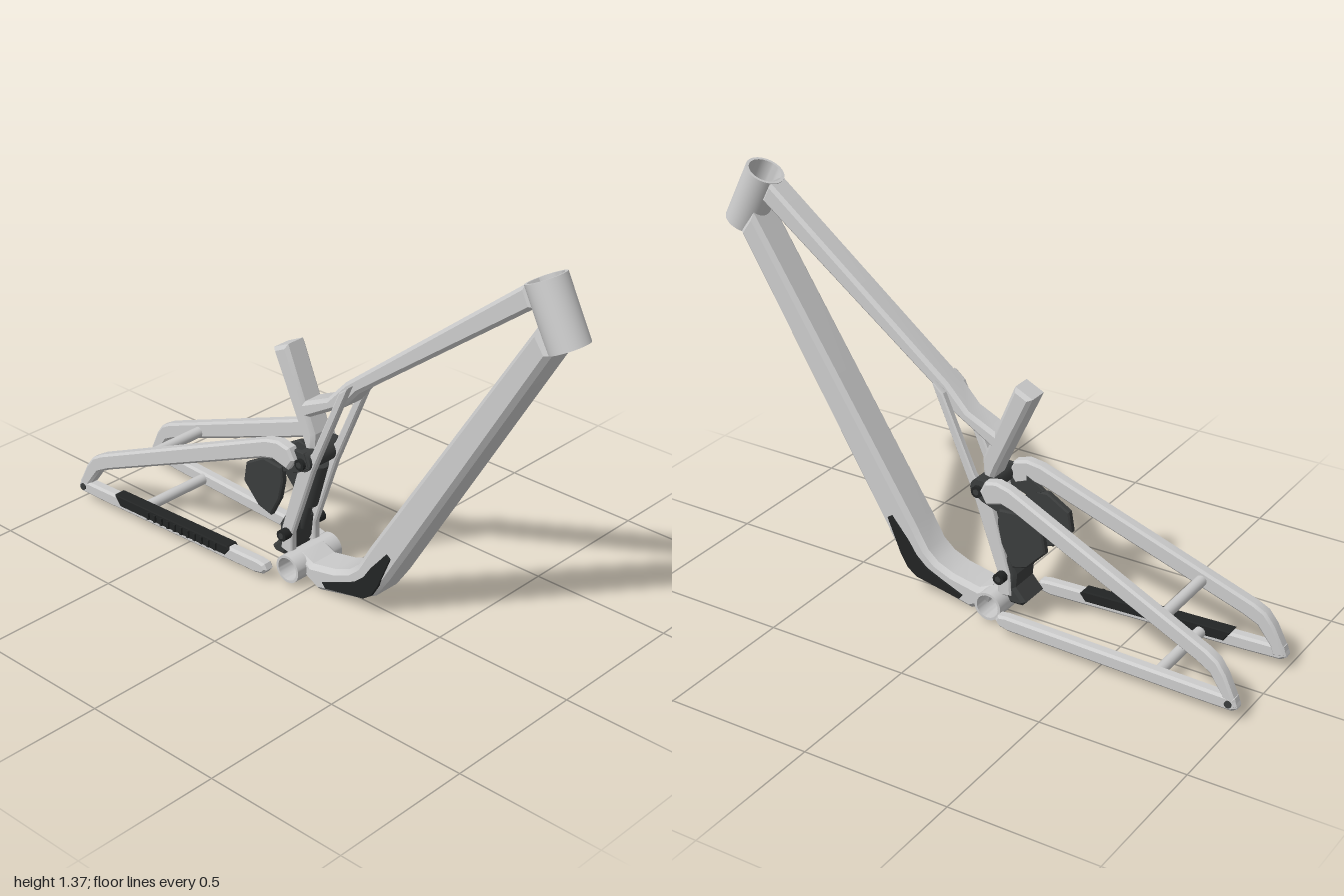
import * as THREE from 'three';
import { toCreasedNormals } from 'three/addons/utils/BufferGeometryUtils.js';

const GREY = new THREE.MeshStandardMaterial({ color: 0xcccccc });
const DARK = new THREE.MeshStandardMaterial({ color: 0x3a3c3c });
const RUBBER = new THREE.MeshStandardMaterial({ color: 0x222424 });

export function createModel() {
  const frame = new THREE.Group();
  frame.name = 'bicycleFrame';

  function add(name, geometry, material = GREY) {
    const mesh = new THREE.Mesh(geometry, material);
    mesh.name = name;
    frame.add(mesh);
    return mesh;
  }

  // Side outline extruded across z with chamfered edges; zAt(x) bends it sideways
  function slab(name, outline, half, bevel, zAt = () => 0, material = GREY) {
    const shape = new THREE.Shape(outline.map(([x, y]) => new THREE.Vector2(x, y)));
    const g = new THREE.ExtrudeGeometry(shape, {
      depth: 2 * (half - bevel), bevelEnabled: bevel > 0, bevelThickness: bevel,
      bevelSize: bevel, bevelOffset: -bevel, bevelSegments: 1,
    });
    g.translate(0, 0, -(half - bevel));
    const p = g.attributes.position;
    for (let i = 0; i < p.count; i++) p.setZ(i, p.getZ(i) + zAt(p.getX(i)));
    g.computeVertexNormals();
    return add(name, toCreasedNormals(g, 0.45), material);
  }

  // Solid round bar along z
  function bar(name, x, y, z, radius, length, material = GREY, sides = 20) {
    const g = new THREE.CylinderGeometry(radius, radius, length, sides);
    g.rotateX(Math.PI / 2);
    return add(name, g.translate(x, y, z), material);
  }

  // Hollow round tube standing on the y axis
  function pipe(outer, inner, length) {
    const h = length / 2;
    const profile = [[inner, -h], [outer, -h], [outer, h], [inner, h], [inner, -h]];
    const g = new THREE.LatheGeometry(profile.map(([r, y]) => new THREE.Vector2(r, y)), 40);
    return toCreasedNormals(g, 0.6);
  }

  // Head tube and bottom bracket shell
  const head = add('headTube', pipe(0.065, 0.055, 0.21));
  head.position.set(0.891, 1.243, 0);
  head.rotation.z = 0.464;
  const shell = add('bottomBracketShell', pipe(0.049, 0.04, 0.21));
  shell.position.set(-0.065, 0.06, 0);
  shell.rotation.x = Math.PI / 2;

  // Main tubes
  slab('downTube', [
    [0.86, 1.205], [0.25, 0.25], [0.2, 0.165], [0.16, 0.13], [0.1, 0.105], [0, 0.085],
    [-0.05, 0.108], [-0.03, 0.03], [0.03, 0], [0.2, 0.04], [0.275, 0.08], [0.33, 0.16],
    [0.915, 1.135],
  ], 0.065, 0.016);
  slab('topTube', [
    [0.8, 1.315], [0.125, 0.78], [0.05, 0.7], [-0.08, 0.64], [-0.055, 0.59],
    [0.125, 0.695], [0.18, 0.76], [0.835, 1.25],
  ], 0.045, 0.012);
  slab('seatTube', [
    [-0.185, 0.8], [-0.122, 0.83], [-0.005, 0.55], [-0.01, 0.48], [-0.04, 0.48], [-0.06, 0.53],
  ], 0.045, 0.012);

  // Shock, with its mounts between the side plates
  const top = new THREE.Vector3(-0.02, 0.45, 0);
  const bottom = new THREE.Vector3(-0.105, 0.16, 0);
  const shock = new THREE.Group();
  shock.name = 'shock';
  for (const [r, y, h] of [[0.036, 0.05, 0.17], [0.022, -0.07, 0.14]]) {
    const part = new THREE.Mesh(new THREE.CylinderGeometry(r, r, h, 20), DARK);
    part.name = r > 0.03 ? 'shockBody' : 'shockShaft';
    part.position.y = y;
    shock.add(part);
  }
  shock.position.copy(top).add(bottom).multiplyScalar(0.5);
  shock.rotation.z = Math.atan2(bottom.x - top.x, top.y - bottom.y);
  frame.add(shock);
  bar('upperShockMount', -0.02, 0.465, 0, 0.035, 0.16, DARK);
  slab('lowerLink', [
    [-0.11, 0.24], [-0.145, 0.18], [-0.14, 0.13], [-0.18, 0.085], [-0.165, 0.07],
    [-0.12, 0.07], [-0.095, 0.12], [-0.085, 0.2],
  ], 0.062, 0.01, undefined, DARK);

  // Mirrored parts
  for (const s of [1, -1]) {
    const side = s > 0 ? 'Front' : 'Back';

    slab('seatPlate' + side, [
      [0.165, 0.785], [0.125, 0.755], [0.01, 0.5], [-0.045, 0.44], [-0.125, 0.18], [-0.13, 0.1],
      [-0.08, 0.09], [-0.08, 0.17], [0.012, 0.43],
    ], 0.014, 0.005, () => s * 0.055);

    slab('rocker' + side, [
      [-0.26, 0.38], [-0.18, 0.427], [-0.1, 0.42], [-0.095, 0.37], [-0.11, 0.3], [-0.15, 0.225],
      [-0.205, 0.24], [-0.272, 0.31],
    ], 0.013, 0.005, () => s * 0.082, DARK);
    slab('rockerArm' + side, [
      [-0.17, 0.43], [-0.06, 0.5], [-0.01, 0.5], [0.01, 0.45], [-0.03, 0.425], [-0.1, 0.4],
    ], 0.008, 0.002, () => s * 0.077, DARK);

    // Rear stays, splaying outwards towards the dropouts
    slab('seatStay' + side, [
      [-1, 0.05], [-0.99, 0.075], [-0.955, 0.147], [-0.925, 0.187], [-0.885, 0.21],
      [-0.15, 0.513], [-0.1, 0.522], [-0.055, 0.51], [-0.035, 0.47], [-0.06, 0.43],
      [-0.12, 0.45], [-0.163, 0.44], [-0.85, 0.163], [-0.9, 0.137], [-0.945, 0.075], [-0.955, 0.04],
    ], 0.022, 0.008, (x) => s * (0.17 - (x + 1) * 0.088));
    slab('chainStay' + side, [
      [-1, 0.045], [-0.99, 0.08], [-0.16, 0.075], [-0.13, 0.07], [-0.12, 0.05], [-0.135, 0.032],
      [-0.17, 0.025], [-0.85, 0.03], [-0.98, 0.033],
    ], 0.021, 0.008, (x) => s * (0.17 - (x + 1) * 0.045));
    bar('dropoutBolt' + side, -0.972, 0.058, s * 0.172, 0.012, 0.046, DARK, 12);

    // Pivot bolts
    for (const [x, y] of [[-0.018, 0.46], [-0.1, 0.168]]) {
      bar('pivotBolt' + side, x, y, s * 0.08, 0.02, 0.034, RUBBER, 12);
      bar('pivotCap' + side, x, y, s * 0.094, 0.011, 0.01, DARK, 6);
    }

    slab('downTubeGuard' + side, [
      [0.33, 0.262], [0.347, 0.25], [0.297, 0.13], [0.27, 0.085], [0.235, 0.06], [0.07, 0.027],
      [0.055, 0.045], [0.14, 0.08], [0.195, 0.105], [0.235, 0.14], [0.265, 0.185],
    ], 0.006, 0.002, () => s * 0.064, RUBBER);
  }

  // Bridges joining the two sides
  bar('seatStayBridge', -0.71, 0.247, 0, 0.019, 0.26);
  bar('chainStayBridge', -0.71, 0.055, 0, 0.019, 0.29);

  // Ribbed guard wrapped round one chainstay
  const guardZ = (x) => 0.17 - (x + 1) * 0.045;
  slab('chainStayGuard', [
    [-0.815, 0.083], [-0.29, 0.08], [-0.28, 0.068], [-0.3, 0.042], [-0.79, 0.045],
  ], 0.024, 0.004, guardZ, RUBBER);
  for (let i = 0; i < 11; i++) {
    const x = -0.65 + i * 0.031;
    const rib = new THREE.BoxGeometry(0.01, 0.026, 0.01);
    add('guardRib', rib.translate(x, 0.062, guardZ(x) + 0.026), RUBBER);
  }

  return frame;
}
